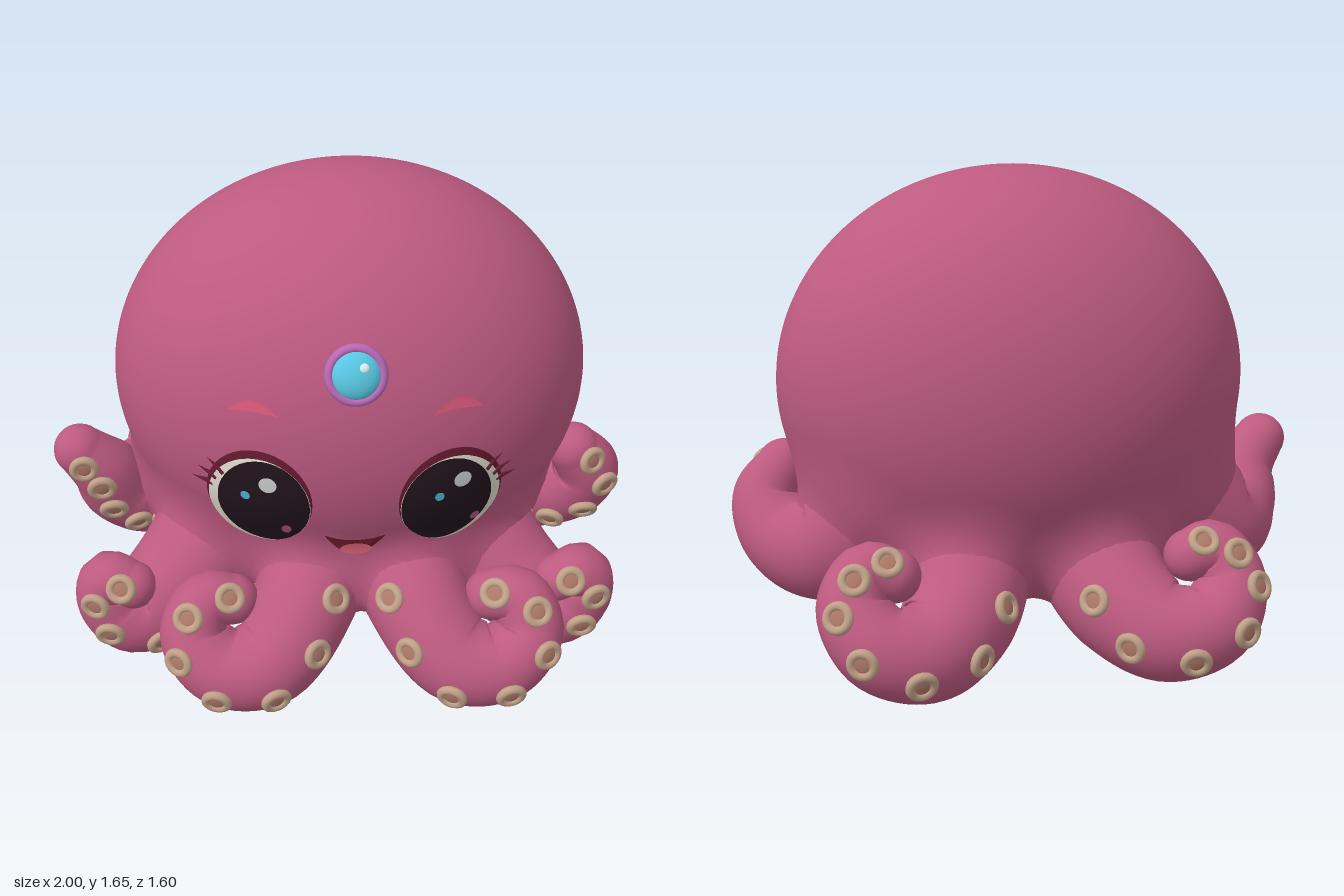
import * as THREE from 'three';

const C = new THREE.Vector3(0.035, 0.95, -0.035); // head centre
const R = new THREE.Vector3(0.8, 0.72, 0.61); // head radii
const mat = (color, side = THREE.FrontSide) => new THREE.MeshStandardMaterial({ color, side });
const skin = mat(0xbd5a80), rim = mat(0xc0a088), cup = mat(0xae7a68);

function add(parent, name, geometry, material) {
  const m = new THREE.Mesh(geometry, material);
  m.name = name;
  parent.add(m);
  return m;
}

// Left tentacle of each pair; axis is its mirror plane, rightEnd varies the right tip
const pairs = [
  { name: 'frontTentacle', axis: 0.06, base: 0.21, tip: 0.085, facing: 1, from: 0.27, count: 7,
    path: [[0.2, 0.44, 0.2], [0.24, 0.33, 0.43], [0.38, 0.175, 0.6], [0.53, 0.175, 0.62],
      [0.62, 0.27, 0.57], [0.58, 0.37, 0.52], [0.49, 0.36, 0.5]] },
  { name: 'frontSideTentacle', axis: 0.01, base: 0.23, tip: 0.08, facing: 1, from: 0.45, count: 5,
    path: [[0.4, 0.45, 0.13], [0.6, 0.27, 0.29], [0.74, 0.21, 0.37], [0.81, 0.28, 0.39],
      [0.81, 0.37, 0.4], [0.73, 0.36, 0.42]] },
  { name: 'sideTentacle', axis: 0, base: 0.25, tip: 0.09, facing: 1, from: 0.42, count: 5,
    path: [[0.48, 0.57, -0.12], [0.7, 0.41, -0.11], [0.83, 0.44, -0.04], [0.88, 0.55, 0.03], [0.82, 0.65, 0.06]],
    rightEnd: [[0.79, 0.46, -0.04], [0.84, 0.57, 0.02], [0.91, 0.66, 0.04]] },
  { name: 'backTentacle', axis: 0.03, base: 0.22, tip: 0.085, facing: -1, from: 0.3, count: 7,
    path: [[0.22, 0.45, -0.28], [0.3, 0.28, -0.51], [0.42, 0.215, -0.63], [0.57, 0.25, -0.65],
      [0.64, 0.36, -0.58], [0.59, 0.45, -0.54], [0.51, 0.44, -0.55]] },
];

function makeArm(name, path, pair) {
  const points = path.map((p) => new THREE.Vector3(...p));
  const curve = new THREE.CatmullRomCurve3(points);
  const radiusAt = (u) => pair.base * (pair.tip / pair.base) ** curve.getUtoTmapping(u);
  // Spheres along the root, thinning outward so the body melts into the arm
  const root = Array.from({ length: 14 }, (_, i) => {
    const u = i * 0.032;
    return { c: curve.getPointAt(u), r: radiusAt(u) * (1 - 0.6 * u) };
  });
  return { name, points, curve, radiusAt, root, pair };
}
const arms = pairs.flatMap((p) => {
  const right = p.rightEnd ? [...p.path.slice(0, 2), ...p.rightEnd] : p.path;
  return [makeArm(p.name + 'Left', p.path, p),
    makeArm(p.name + 'Right', right.map(([x, y, z]) => [2 * p.axis - x, y, z]), p)];
});

// Signed distance to the head softly merged with the tentacle roots
function bodyDistance(p) {
  const v = p.clone().sub(C).divide(R), k0 = v.length();
  let d = (k0 * (k0 - 1)) / v.divide(R).length();
  for (const arm of arms) {
    let a = Infinity;
    for (const s of arm.root) a = Math.min(a, p.distanceTo(s.c) - s.r);
    const h = Math.max(0.15 - Math.abs(d - a), 0) / 0.15;
    d = Math.min(d, a) - h * h * 0.0375;
  }
  return d;
}
function bodyNormal(p) {
  const slope = (x, y, z) => {
    const e = new THREE.Vector3(x, y, z).multiplyScalar(0.004);
    return bodyDistance(p.clone().add(e)) - bodyDistance(p.clone().sub(e));
  };
  return new THREE.Vector3(slope(1, 0, 0), slope(0, 1, 0), slope(0, 0, 1)).normalize();
}

// Sphere whose vertices move out along their rays to the body surface
function bodyGeometry() {
  const geo = new THREE.SphereGeometry(1, 144, 108);
  const { position, normal } = geo.attributes;
  const centre = new THREE.Vector3(C.x, 0.72, C.z), ray = new THREE.Vector3();
  for (let i = 0; i < position.count; i++) {
    ray.fromBufferAttribute(position, i);
    const at = (t) => centre.clone().addScaledVector(ray, t);
    let hi = 0.3;
    while (bodyDistance(at(hi)) < 0) hi += 0.02;
    let lo = hi - 0.02;
    for (let n = 0; n < 9; n++) {
      const mid = (lo + hi) / 2;
      if (bodyDistance(at(mid)) < 0) lo = mid; else hi = mid;
    }
    const p = at(hi), n = bodyNormal(p);
    position.setXYZ(i, p.x, p.y, p.z);
    normal.setXYZ(i, n.x, n.y, n.z);
  }
  return geo;
}

// Depth of the face at a point seen from the front
function faceZ(x, y) {
  const p = new THREE.Vector3(x, y, 0.9);
  for (let i = 0; i < 40; i++) p.z -= bodyDistance(p) * 0.9;
  return p.z;
}

// Lay a flat geometry on the face, optionally over the bulge of an eye
function patch(parent, name, geo, color, lift, eye) {
  const p = geo.attributes.position;
  for (let i = 0; i < p.count; i++) {
    const x = p.getX(i), y = p.getY(i);
    const dome = eye ? 0.022 * Math.max(0, 1 - ((x - eye.x) / 0.18) ** 2 - ((y - eye.y) / 0.21) ** 2) : 0;
    p.setZ(i, faceZ(x, y) + lift + dome);
  }
  geo.computeVertexNormals();
  add(parent, name, geo, mat(color, THREE.DoubleSide));
}
const disc = (x, y, rx, ry) => new THREE.RingGeometry(0, 1, 40, 8).scale(rx, ry, 1).translate(x, y, 0);

// Tapered tube with a rounded tip
function sweep(curve, radiusAt) {
  const N = 56, CAP = 8, SIDES = 28;
  const fr = curve.computeFrenetFrames(N);
  const pos = [], index = [];
  for (let i = 0; i <= N + CAP; i++) {
    const k = Math.min(i, N), a = (Math.max(0, i - N) / CAP) * Math.PI / 2;
    const r = radiusAt(k / N), w = r * Math.cos(a);
    const c = curve.getPointAt(k / N).addScaledVector(fr.tangents[k], r * Math.sin(a));
    for (let j = 0; j < SIDES; j++) {
      const th = (j / SIDES) * Math.PI * 2;
      const v = c.clone().addScaledVector(fr.normals[k], w * Math.cos(th)).addScaledVector(fr.binormals[k], w * Math.sin(th));
      pos.push(v.x, v.y, v.z);
      if (i < N + CAP) {
        const A = i * SIDES + j, B = i * SIDES + (j + 1) % SIDES;
        index.push(A, B, A + SIDES, B, B + SIDES, A + SIDES);
      }
    }
  }
  const geo = new THREE.BufferGeometry();
  geo.setAttribute('position', new THREE.Float32BufferAttribute(pos, 3));
  geo.setIndex(index);
  geo.computeVertexNormals();
  return geo;
}

const ringGeo = new THREE.TorusGeometry(0.037, 0.015, 10, 24);
const cupGeo = new THREE.SphereGeometry(0.036, 18, 8).scale(1, 1, 0.25);

// Tentacle with a row of suckers that turns to the outside of its curl
function addTentacle(parent, { name, points, curve, radiusAt, pair }) {
  const g = new THREE.Group();
  g.name = name;
  parent.add(g);
  add(g, 'arm', sweep(curve, radiusAt), skin);
  const curl = points.slice(-4);
  const hub = curl.reduce((sum, p) => sum.add(p), new THREE.Vector3()).divideScalar(curl.length);
  for (let i = 0; i < pair.count; i++) {
    const u = pair.from + (0.97 - pair.from) * (i / (pair.count - 1)) ** 0.9;
    const c = curve.getPointAt(u), t = curve.getTangentAt(u);
    const dir = c.clone().sub(hub).multiplyScalar(8 * u * u);
    dir.z += pair.facing;
    dir.addScaledVector(t, -dir.dot(t)).normalize();
    const sucker = new THREE.Group();
    sucker.name = 'sucker';
    sucker.position.copy(c).addScaledVector(dir, radiusAt(u) + 0.002);
    sucker.quaternion.setFromUnitVectors(new THREE.Vector3(0, 0, 1), dir);
    add(sucker, 'suckerRim', ringGeo, rim);
    add(sucker, 'suckerCup', cupGeo, cup);
    g.add(sucker);
  }
}

// Crescent between two arcs from a to b, with lower and upper control heights
function crescent(ax, ay, bx, by, low, high) {
  const s = new THREE.Shape(), mx = (ax + bx) / 2;
  s.moveTo(ax, ay).quadraticCurveTo(mx, low, bx, by).quadraticCurveTo(mx, high, ax, ay);
  return new THREE.ShapeGeometry(s, 16);
}

function addEye(parent, s) {
  const g = new THREE.Group();
  g.name = s > 0 ? 'leftEye' : 'rightEye';
  parent.add(g);
  const e = { x: C.x + s * 0.305, y: 0.77 };
  patch(g, 'eyelid', disc(e.x, e.y + 0.01, 0.169, 0.197), 0x651a30, 0.004, e);
  patch(g, 'eyeWhite', disc(e.x, e.y - 0.006, 0.163, 0.189), 0xe2ddd2, 0.009, e);
  patch(g, 'iris', disc(e.x - s * 0.014, e.y - 0.003, 0.147, 0.182), 0x21141b, 0.013, e);
  patch(g, 'largeGlint', disc(e.x + 0.03, e.y + 0.1, 0.028, 0.028), 0xffffff, 0.018, e);
  patch(g, 'blueGlint', disc(e.x - 0.042, e.y + 0.046, 0.015, 0.017), 0x4fb4d6, 0.018, e);
  patch(g, 'pinkGlint', disc(e.x + 0.085, e.y - 0.097, 0.016, 0.022), 0xb9557d, 0.018, e);
  // Lashes fan out from the upper outer rim
  for (const [dx, dy, a] of [[0.135, 0.125, 0.75], [0.163, 0.09, 0.55], [0.18, 0.05, 0.3]]) {
    const x = e.x + s * dx, y = e.y + dy;
    const lash = add(g, 'eyelash', new THREE.ConeGeometry(0.011, 0.075, 8), mat(0x651a30));
    lash.position.set(x, y, faceZ(x, y) + 0.012);
    const out = new THREE.Vector3(s * Math.cos(a), Math.sin(a), -0.25).normalize();
    lash.quaternion.setFromUnitVectors(new THREE.Vector3(0, 1, 0), out);
  }
  // Blush strokes under the eye
  for (let i = 0; i < 3; i++) {
    patch(g, 'blush', disc(e.x + s * (0.07 + i * 0.037), 0.59 + i * 0.008, 0.007, 0.026), 0xcf5576, 0.006);
  }
  const bx = C.x + s * 0.235;
  patch(g, 'eyebrow', crescent(bx, 1.105, bx + s * 0.16, 1.105, 1.125, 1.195), 0xd9587a, 0.014);
}

export function createModel() {
  const model = new THREE.Group();
  model.name = 'octopus';
  add(model, 'headAndBody', bodyGeometry(), skin);
  for (const arm of arms) addTentacle(model, arm);
  addEye(model, 1);
  addEye(model, -1);

  // Open smiling mouth with tongue
  patch(model, 'mouth', crescent(C.x - 0.1, 0.638, C.x + 0.1, 0.638, 0.45, 0.585), 0x741a30, 0.014);
  patch(model, 'tongue', disc(C.x + 0.003, 0.572, 0.052, 0.026), 0xe8687f, 0.02);

  // Round forehead gem in a lilac setting
  const gem = new THREE.Group();
  gem.name = 'foreheadGem';
  gem.position.set(C.x, 1.24, faceZ(C.x, 1.24));
  gem.quaternion.setFromUnitVectors(new THREE.Vector3(0, 0, 1), bodyNormal(gem.position));
  add(gem, 'gemSetting', new THREE.TorusGeometry(0.082, 0.015, 12, 40).scale(1, 1, 1.2), mat(0xb868b4));
  add(gem, 'gemStone', new THREE.SphereGeometry(0.078, 32, 16).scale(1, 1, 0.5), mat(0x58c8e4));
  const glint = add(gem, 'gemGlint', new THREE.SphereGeometry(0.015, 16, 10).scale(1, 1, 0.5), mat(0xd8f2f8));
  glint.position.set(0.024, 0.026, 0.035);
  model.add(gem);
  return model;
}
